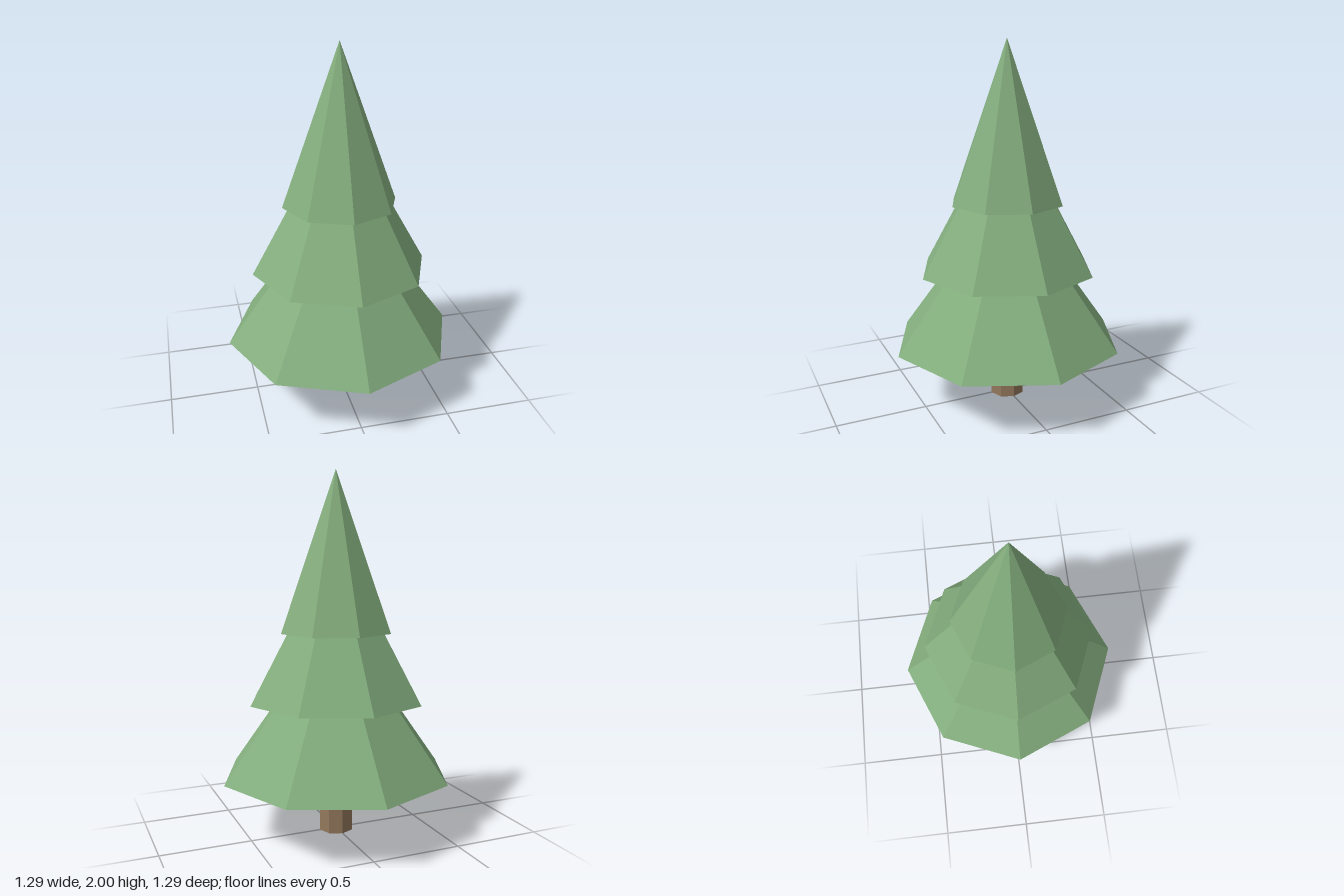
import * as THREE from 'three';

const SIDES = 8;

export function createModel() {
  const tree = new THREE.Group();
  tree.name = 'pineTree';

  const foliage = new THREE.MeshStandardMaterial({ color: 0x84ae7e, flatShading: true });
  foliage.name = 'foliage green';
  const bark = new THREE.MeshStandardMaterial({ color: 0x93785c, flatShading: true });
  bark.name = 'bark brown';

  // Trunk: octagonal post meeting the underside of the lowest tier
  const trunkHeight = 0.33;
  const trunk = new THREE.Mesh(new THREE.CylinderGeometry(0.098, 0.098, trunkHeight, SIDES), bark);
  trunk.name = 'trunk';
  trunk.position.y = trunkHeight / 2;
  tree.add(trunk);

  // Foliage: three overlapping closed cones
  const tiers = [
    { name: 'lowerTier', radius: 0.645, base: 0.33, apex: 1.215 },
    { name: 'middleTier', radius: 0.493, base: 0.75, apex: 1.63 },
    { name: 'topTier', radius: 0.318, base: 1.13, apex: 2 },
  ];
  for (const { name, radius, base, apex } of tiers) {
    const tier = new THREE.Mesh(new THREE.ConeGeometry(radius, apex - base, SIDES), foliage);
    tier.name = name;
    tier.position.y = (base + apex) / 2;
    tree.add(tier);
  }

  return tree;
}
